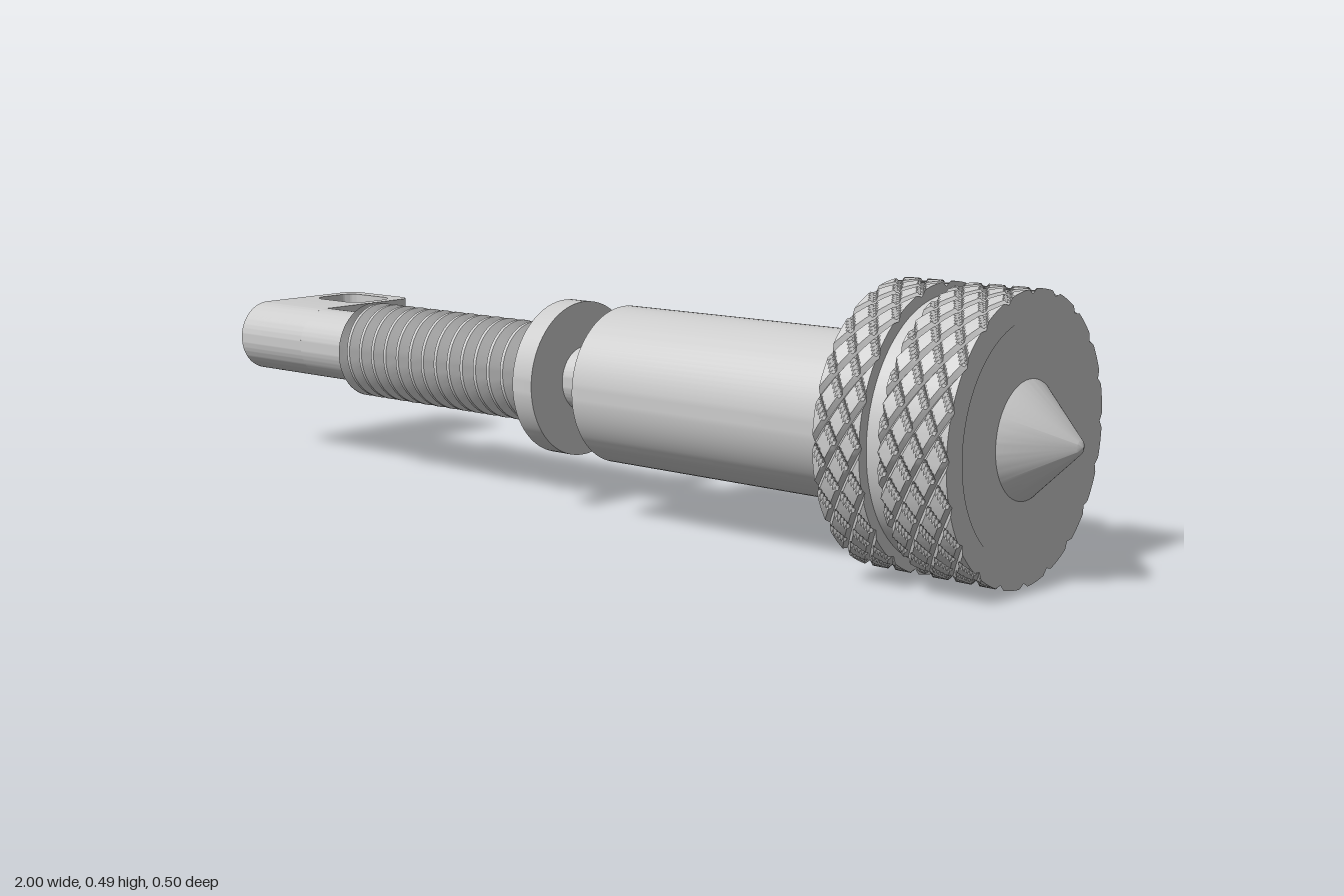
import * as THREE from 'three';
import { toCreasedNormals } from 'three/addons/utils/BufferGeometryUtils.js';

const AXIS_Y = 0.248;
const SHANK_R = 0.073;

export function createModel() {
  const model = new THREE.Group();
  model.name = 'knurledPlunger';
  const material = new THREE.MeshStandardMaterial({ color: 0xcccccc });

  function add(name, geometry, crease = 0.5) {
    const mesh = new THREE.Mesh(toCreasedNormals(geometry, crease), material);
    mesh.name = name;
    mesh.position.y = AXIS_Y;
    model.add(mesh);
  }

  // Turned part: profile of [radius, x] pairs in order of rising x
  function turned(name, profile) {
    const points = profile.map(([r, x]) => new THREE.Vector2(r, x));
    add(name, new THREE.LatheGeometry(points, 96).rotateZ(-Math.PI / 2));
  }
  const cylinder = (name, r, x0, x1) => turned(name, [[0, x0], [r, x0], [r, x1], [0, x1]]);

  // Surface wrapped round the x axis; fn(row, angle) gives [x, radius]
  function wrapped(rows, cols, fn) {
    const positions = [], index = [];
    for (let i = 0; i <= rows; i++) {
      for (let j = 0; j <= cols; j++) {
        const angle = (j / cols) * Math.PI * 2;
        const [x, r] = fn(i, angle);
        positions.push(x, r * Math.cos(angle), r * Math.sin(angle));
        if (i < rows && j < cols) {
          const a = i * (cols + 1) + j, b = a + cols + 1;
          index.push(a, a + 1, b, a + 1, b + 1, b);
        }
      }
    }
    const geometry = new THREE.BufferGeometry();
    geometry.setAttribute('position', new THREE.Float32BufferAttribute(positions, 3));
    geometry.setIndex(index);
    return geometry;
  }

  // Plain turned parts
  cylinder('shank', SHANK_R, -0.805, -0.1);
  cylinder('flange', 0.148, -0.11, -0.062);
  cylinder('neck', 0.062, -0.07, 0.05);
  cylinder('body', 0.148, 0.04, 0.66);
  cylinder('headCore', 0.225, 0.65, 0.9);
  turned('conePoint', [[0.1, 0.9], [0.012, 0.995], [0, 1]]);

  // Helical thread: four rows per turn, clamped to the threaded length
  const threadStart = -0.655, threadEnd = -0.108, turns = 15;
  const pitch = (threadEnd - threadStart) / turns;
  const threadRadii = [SHANK_R, SHANK_R, 0.098, 0.098];
  const threadSteps = [0, 0.12, 0.46, 0.66];
  add('thread', wrapped(4 * (turns + 1), 64, (i, angle) => {
    const turn = Math.floor(i / 4) - 1 + threadSteps[i % 4] + angle / (2 * Math.PI);
    const x = THREE.MathUtils.clamp(threadStart + pitch * turn, threadStart, threadEnd);
    return [x, threadRadii[i % 4]];
  }), 0.4);

  // Knurled bands: two crossing families of V grooves
  const starts = 20, division = 12, diamond = 0.045;
  const grooveDistance = (t) => Math.abs(t - Math.round(t));
  function knurledBand(name, x0, x1) {
    const rows = Math.round(((x1 - x0) / diamond) * division);
    add(name, wrapped(rows + 2, starts * division, (i, angle) => {
      if (i === 0) return [x0, 0.2];
      if (i === rows + 2) return [x1, 0.2];
      const x = x1 - (x1 - x0) * (1 - (i - 1) / rows);
      const u = (angle / (2 * Math.PI)) * starts;
      const v = (rows - i + 1) / division;
      const d = Math.min(grooveDistance(u + v), grooveDistance(u - v));
      return [x, 0.246 - 0.008 * Math.max(0, 1 - d * 6)];
    }), 0.45);
  }
  knurledBand('innerKnurl', 0.65, 0.74);
  knurledBand('outerKnurl', 0.775, 0.901);

  // Rounded end of the shank, drilled along the axis and squared toward the eye
  const socket = new THREE.Shape();
  socket.moveTo(0.08, -SHANK_R);
  socket.lineTo(0.08, SHANK_R);
  socket.lineTo(0, SHANK_R);
  socket.absarc(0, 0, SHANK_R, Math.PI / 2, Math.PI * 1.5, false);
  socket.closePath();
  socket.holes.push(new THREE.Path().absarc(0, 0, 0.04, 0, Math.PI * 2, true));
  add('drilledEnd', new THREE.ExtrudeGeometry(socket, { depth: 0.195, bevelEnabled: false, curveSegments: 40 })
    .rotateY(Math.PI / 2).translate(-1, 0, 0));

  // Eye block at the back with a rounded window through it
  const eye = new THREE.Shape();
  eye.moveTo(-1, 0.08);
  eye.lineTo(-0.805, 0.08);
  eye.absarc(-0.835, 0.22, 0.03, 0, Math.PI / 2, false);
  eye.absarc(-0.97, 0.22, 0.03, Math.PI / 2, Math.PI, false);
  eye.closePath();
  const hole = new THREE.Path();
  hole.absarc(-0.862, 0.188, 0.032, 0, Math.PI / 2, false);
  hole.absarc(-0.939, 0.188, 0.032, Math.PI / 2, Math.PI, false);
  hole.absarc(-0.939, 0.14, 0.032, Math.PI, Math.PI * 1.5, false);
  hole.absarc(-0.862, 0.14, 0.032, Math.PI * 1.5, Math.PI * 2, false);
  hole.closePath();
  eye.holes.push(hole);
  add('eyeBlock', new THREE.ExtrudeGeometry(eye, { depth: 2 * SHANK_R, bevelEnabled: false, curveSegments: 12 })
    .rotateX(-Math.PI / 2).translate(0, -SHANK_R, 0));

  return model;
}
